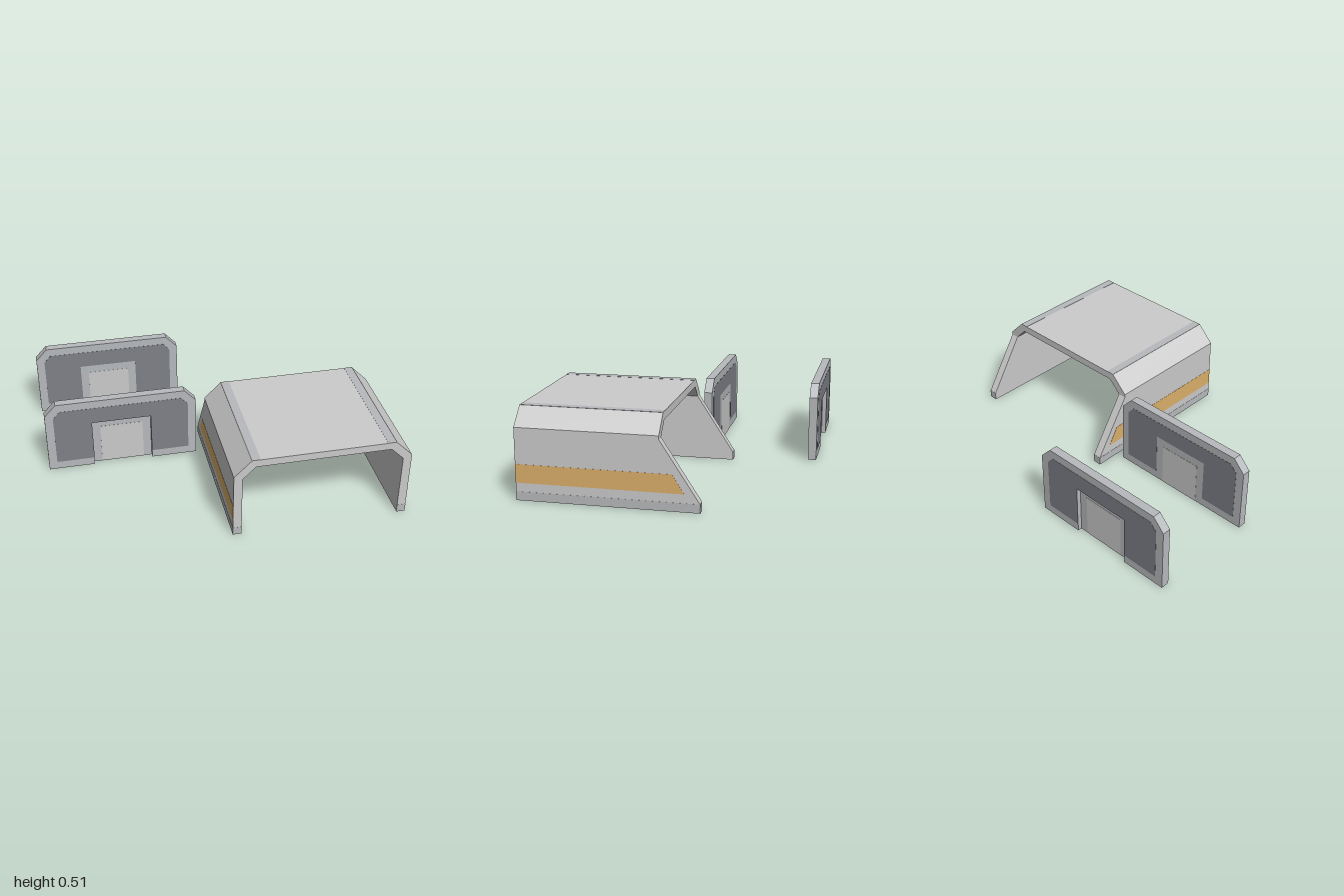
import * as THREE from 'three';

const mat = (color) => new THREE.MeshStandardMaterial({ color, flatShading: true });
const body = mat(0xcccccc), trim = mat(0xb7babd), dark = mat(0x7f8188), amber = mat(0xdcb06b);
const SKIN = 0.001; // height of painted areas above the surface

const shapeOf = (pts) => new THREE.Shape(pts.map(([x, y]) => new THREE.Vector2(x, y)));

// Slab of a given outline, from z0 to z1
function slab(name, pts, z0, z1, material) {
  const geo = new THREE.ExtrudeGeometry(shapeOf(pts), { depth: z1 - z0, bevelEnabled: false });
  geo.translate(0, 0, z0);
  const mesh = new THREE.Mesh(geo, material);
  mesh.name = name;
  return mesh;
}

// Slab with its outline given as (z, y), from x0 to x1
function sideSlab(name, pts, x0, x1, material) {
  const mesh = slab(name, pts.map(([z, y]) => [-z, y]), x0, x1, material);
  mesh.geometry.rotateY(Math.PI / 2);
  return mesh;
}

// Arched cover: roof, two raked legs, feet and painted stripes; centred on its own x
function createCover() {
  const g = new THREE.Group();
  g.name = 'archedCover';
  const W = 0.515, T = 0.05, front = 0.76, back = -0.26, roofBack = -0.04;

  const half = [[W - T, 0.39], [W, 0.39], [W, 0.41], [W - 0.1, 0.51]];
  const inner = [W - 0.125, 0.465];
  const mirror = ([x, y]) => [-x, y];
  g.add(slab('roof', [...half, ...[...half].reverse().map(mirror), mirror(inner), inner],
    roofBack, front, body));

  for (const s of [1, -1]) {
    const span = (a, b) => (s > 0 ? [a, b] : [-b, -a]);
    g.add(sideSlab('leg', [[front, SKIN], [back, SKIN], [back, 0.05], [roofBack, 0.39], [front, 0.39]],
      ...span(W - T, W), body));
    g.add(sideSlab('foot', [[front + SKIN, 0], [back - SKIN, 0], [back - SKIN, 0.05], [front + SKIN, 0.05]],
      ...span(W - T + SKIN, W + SKIN), trim));
    g.add(sideSlab('sideStripe', [[front, 0.1], [-0.175, 0.1], [-0.11, 0.205], [front, 0.205]],
      ...span(W, W + SKIN), amber));

    // Strip along the edge of the roof
    const strip = new THREE.Mesh(new THREE.BoxGeometry(0.05, SKIN, front - roofBack), trim);
    strip.name = 'roofStrip';
    strip.position.set(s * (W - 0.125), 0.51 + SKIN / 2, (front + roofBack) / 2);
    g.add(strip);
  }
  return g;
}

// End panel with a doorway recessed into its +z face; centred on its own x and z
function createPanel() {
  const g = new THREE.Group();
  g.name = 'endPanel';
  const D = 0.025, door = 0.18, lintel = 0.31;
  const notch = (y) => [[-door, y], [-door, lintel], [door, lintel], [door, y]];
  const top = [[0.46, 0.39], [0.39, 0.465], [-0.39, 0.465], [-0.46, 0.39]];

  g.add(slab('backLayer', [[-0.46, 0], [0.46, 0], ...top], -D, 0, trim));
  g.add(slab('frontLayer', [[-0.46, 0], ...notch(0), [0.46, 0], ...top], 0, D, trim));

  // Dark field around the doorway, on both faces
  const field = [[-0.41, 0.05], ...notch(0.05), [0.41, 0.05],
    [0.41, 0.37], [0.37, 0.415], [-0.37, 0.415], [-0.41, 0.37]];
  g.add(slab('frontField', field, D, D + SKIN, dark));
  g.add(slab('backField', field, -D - SKIN, -D, dark));

  // Light door leaf, on the recess floor and on the flat back
  const leaf = [[-0.13, 0], [0.13, 0], [0.13, 0.26], [-0.13, 0.26]];
  g.add(slab('frontDoor', leaf, 0, SKIN, body));
  g.add(slab('backDoor', leaf, -D - SKIN, -D, body));
  return g;
}

export function createModel() {
  const model = new THREE.Group();
  model.name = 'coverWithEndPanels';

  const cover = createCover();
  cover.position.x = 0.485;
  model.add(cover);

  // The two panels face away from each other
  const frontPanel = createPanel();
  frontPanel.name = 'frontPanel';
  frontPanel.position.set(-0.54, 0, -0.085);
  const backPanel = createPanel();
  backPanel.name = 'backPanel';
  backPanel.position.set(-0.54, 0, -0.735);
  backPanel.rotation.y = Math.PI;
  model.add(frontPanel, backPanel);
  return model;
}
